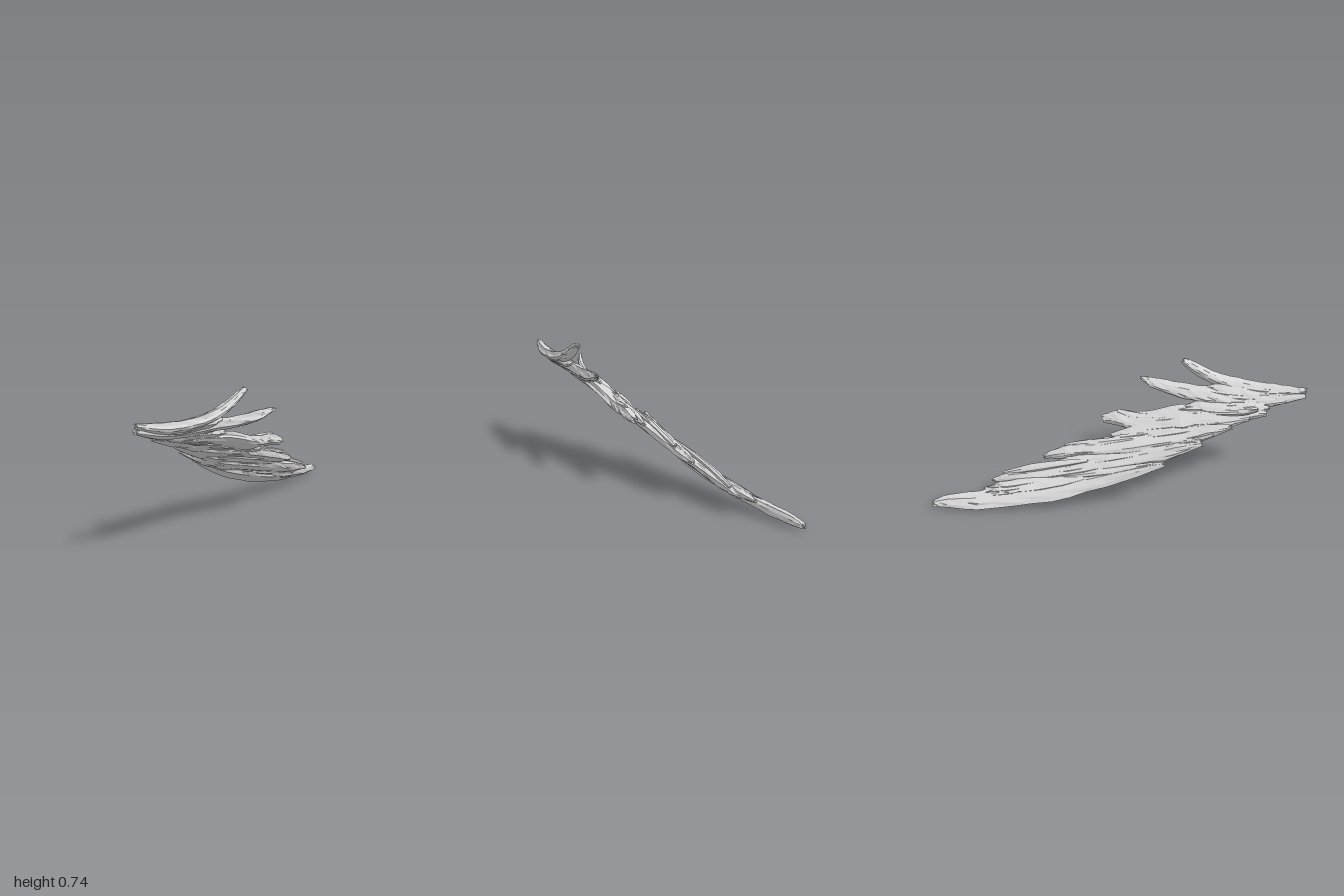
import * as THREE from 'three';

// Small seeded generator for the chipped, fibrous relief
function seeded(seed) {
  let s = seed;
  return () => {
    s = (s * 16807) % 2147483647;
    return s / 2147483647;
  };
}

const SHEET_UP = new THREE.Vector3(-0.38, 0.87, -0.3).normalize();

// Main strands: path points as [x, y, z, half width], root to tip
const MAIN = [
  [[-0.19, 0.63, 1.0, 0.016], [-0.1, 0.603, 0.87, 0.034], [0, 0.608, 0.7, 0.036], [0.06, 0.638, 0.58, 0.032], [0.11, 0.69, 0.48, 0.027], [0.138, 0.73, 0.42, 0.016]],
  [[-0.19, 0.607, 0.99, 0.018], [-0.1, 0.565, 0.78, 0.05], [0, 0.565, 0.56, 0.052], [0.1, 0.567, 0.4, 0.04], [0.18, 0.586, 0.28, 0.03], [0.232, 0.607, 0.21, 0.008]],
  [[-0.195, 0.535, 0.78, 0.014], [-0.1, 0.5, 0.6, 0.058], [0, 0.46, 0.36, 0.075], [0.1, 0.412, 0.16, 0.054], [0.165, 0.412, 0.06, 0.038], [0.205, 0.395, -0.01, 0.022]],
  [[-0.195, 0.48, 0.58, 0.014], [-0.1, 0.41, 0.4, 0.057], [0, 0.34, 0.1, 0.068], [0.1, 0.28, -0.15, 0.05], [0.158, 0.242, -0.3, 0.028], [0.175, 0.224, -0.36, 0.011]],
  [[-0.197, 0.4, 0.42, 0.012], [-0.1, 0.31, 0.2, 0.052], [0, 0.23, -0.1, 0.065], [0.1, 0.16, -0.4, 0.05], [0.17, 0.125, -0.58, 0.026], [0.2, 0.104, -0.65, 0.008]],
  [[-0.195, 0.308, 0.21, 0.012], [-0.085, 0.202, -0.04, 0.047], [0.018, 0.107, -0.38, 0.064], [0.105, 0.048, -0.74, 0.052], [0.16, 0.036, -0.93, 0.03], [0.172, 0.026, -0.99, 0.018]],
];

// Short splinters along the two ragged edges
const SPLINTERS = [
  [[-0.225, 0.58, 0.71, 0.01], [-0.17, 0.545, 0.66, 0.017], [-0.06, 0.5, 0.5, 0.018]],
  [[-0.2, 0.515, 0.68, 0.009], [-0.15, 0.48, 0.58, 0.022], [-0.04, 0.42, 0.36, 0.02]],
  [[-0.165, 0.3, 0.16, 0.012], [-0.1, 0.25, 0.02, 0.022], [0.03, 0.17, -0.3, 0.02]],
  [[0.02, 0.46, 0.3, 0.012], [0.1, 0.435, 0.17, 0.024], [0.178, 0.45, 0.06, 0.011]],
  [[0.0, 0.37, 0.1, 0.012], [0.09, 0.32, -0.1, 0.026], [0.162, 0.285, -0.24, 0.012]],
  [[0.02, 0.26, -0.15, 0.012], [0.12, 0.2, -0.42, 0.028], [0.19, 0.145, -0.59, 0.012]],
];

const curveOf = points => new THREE.CatmullRomCurve3(points.map(p => new THREE.Vector3(p[0], p[1], p[2])));
const squared = v => Math.sign(v) * Math.abs(v) ** 0.75;

// Flattened, tapering bar with lengthwise ridges
function strandGeometry(points, rings, sides, thickness, rand, lift = 0) {
  const path = curveOf(points);
  const widths = new THREE.CatmullRomCurve3(points.map((p, i) => new THREE.Vector3(p[3], i * 0.02, 0)));
  const ridges = Array.from({ length: sides }, () => 0.84 + rand() * 0.28);
  const pos = [], index = [];
  for (let i = 0; i <= rings; i++) {
    const t = i / rings;
    const c = path.getPoint(t);
    const along = path.getTangent(t);
    const across = along.clone().cross(SHEET_UP).normalize();
    const up = across.clone().cross(along);
    const w = widths.getPoint(t).x;
    const h = Math.min(thickness, w * 0.8);
    c.addScaledVector(up, lift);
    for (let j = 0; j < sides; j++) {
      const a = (j / sides) * Math.PI * 2;
      const r = ridges[j] + (rand() - 0.5) * 0.2;
      const p = c.clone()
        .addScaledVector(across, squared(Math.cos(a)) * w * r)
        .addScaledVector(up, squared(Math.sin(a)) * h * r)
        .addScaledVector(along, (rand() - 0.5) * 0.02);
      pos.push(p.x, p.y, p.z);
    }
  }
  for (let i = 0; i < rings; i++) {
    for (let j = 0; j < sides; j++) {
      const k = (j + 1) % sides;
      const a = i * sides + j, b = i * sides + k;
      index.push(a, a + sides, b, b, a + sides, b + sides);
    }
  }
  // Blunt broken ends
  const first = pos.length / 3, last = first + 1, end = rings * sides;
  for (const t of [0, 1]) {
    const c = path.getPoint(t).addScaledVector(SHEET_UP, lift);
    pos.push(c.x, c.y, c.z);
  }
  for (let j = 0; j < sides; j++) {
    const k = (j + 1) % sides;
    index.push(first, j, k, last, end + k, end + j);
  }
  const geo = new THREE.BufferGeometry();
  geo.setAttribute('position', new THREE.Float32BufferAttribute(pos, 3));
  geo.setIndex(index);
  geo.computeVertexNormals();
  return geo;
}

// Path lying between two neighbouring main strands
function between(s, blend, from, to, halfWidths) {
  const a = curveOf(MAIN[s]), b = curveOf(MAIN[s + 1]);
  return halfWidths.map((w, i) => {
    const t = from + (to - from) * i / (halfWidths.length - 1);
    return [...a.getPoint(t).lerp(b.getPoint(t), blend).toArray(), w];
  });
}

// Joined stretch [from, to] of each pair of neighbours
const JOINED = [[0.06, 0.53], [0.1, 0.46], [0.1, 0.6], [0.1, 0.64], [0.3, 0.74]];

export function createModel() {
  const rand = seeded(4127);
  const grey = new THREE.MeshStandardMaterial({ color: 0xd6d6d6 });
  grey.name = 'pale grey';
  grey.flatShading = true;
  const model = new THREE.Group();
  model.name = 'splinteredSheet';
  const add = (geo, name) => {
    const mesh = new THREE.Mesh(geo, grey);
    mesh.name = name;
    model.add(mesh);
  };

  MAIN.forEach((p, i) => add(strandGeometry(p, 18, 12, 0.027, rand), `mainStrand${i + 1}`));
  SPLINTERS.forEach((p, i) => add(strandGeometry(p, 7, 7, 0.016, rand), `edgeSplinter${i + 1}`));

  JOINED.forEach(([from, to], s) => {
    // Web that fills the groove between two strands
    const web = between(s, 0.5, from, to, [0.012, 0.045, 0.05, 0.04, 0.01]);
    add(strandGeometry(web, 10, 10, 0.027, rand), `web${s + 1}`);

    // Thin raised fibres on both faces
    for (let n = 0; n < 10; n++) {
      const length = 0.14 + rand() * 0.14;
      const start = from + rand() * (to - from - length);
      const fibre = between(s, (n % 5 + 0.5) / 5, start, start + length, [0.003, 0.014, 0.003]);
      add(strandGeometry(fibre, 5, 6, 0.01, rand, n < 5 ? 0.02 : -0.02), 'surfaceFibre');
    }
  });

  // Ragged splinters closing the root edge
  for (const s of [1, 2, 3]) {
    for (const blend of [0.3, 0.68]) {
      const root = between(s, blend, 0.02 + rand() * 0.03, 0.4, [0.012, 0.026, 0.03, 0.012]);
      add(strandGeometry(root, 7, 8, 0.018, rand), 'rootSplinter');
    }
  }

  // Stand on the ground, centred
  const box = new THREE.Box3().setFromObject(model);
  const mid = box.getCenter(new THREE.Vector3());
  model.position.set(-mid.x, -box.min.y, -mid.z);
  return model;
}
